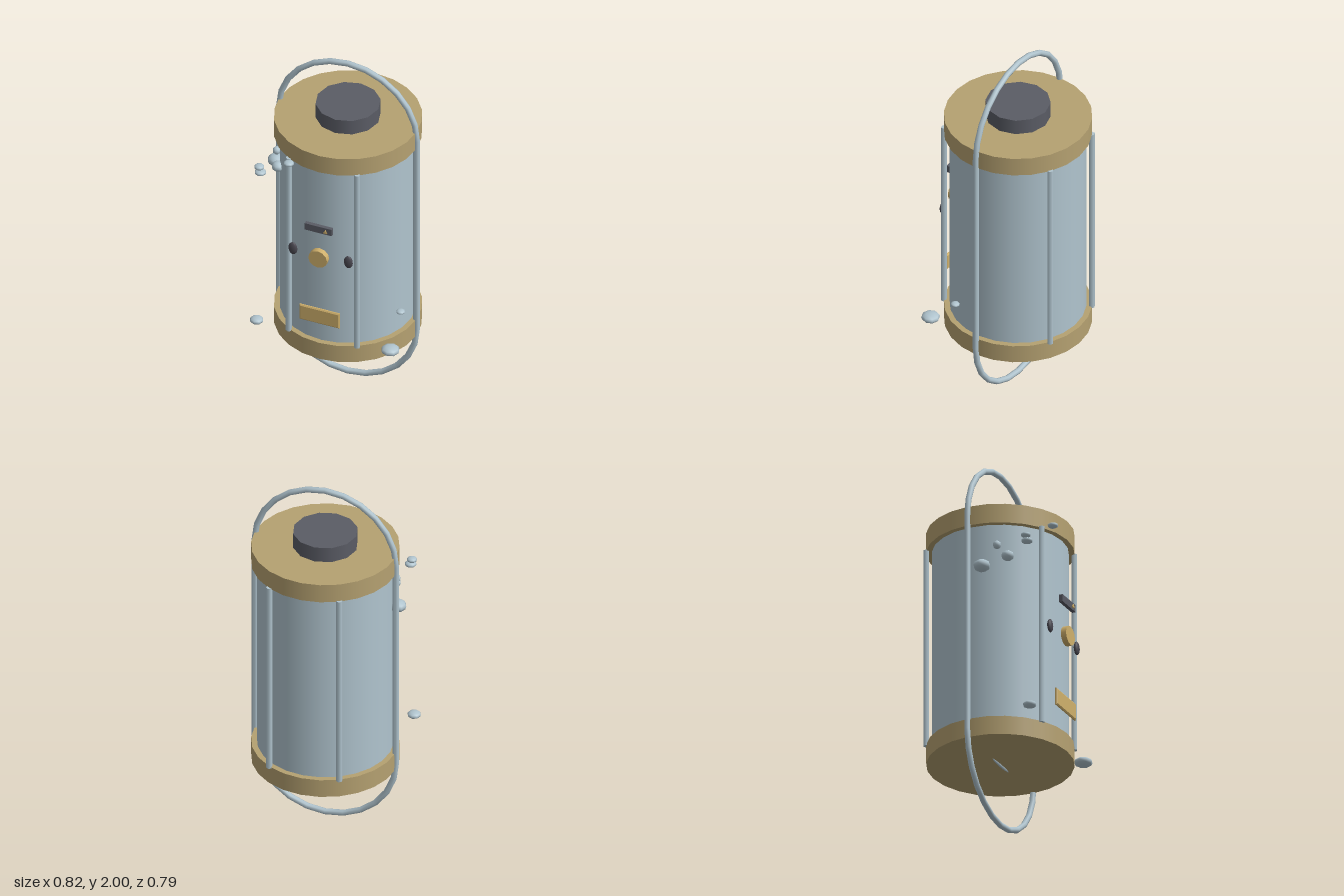
import * as THREE from 'three';

const mat = (name, color) => new THREE.MeshStandardMaterial({ name, color });

export function createModel() {
  const model = new THREE.Group();
  model.name = 'canister';
  const steel = mat('pale steel', 0xb0c4ce);
  const brass = mat('dull brass', 0xb5a171);
  const gold = mat('bright brass', 0xcfb06c);
  const dark = mat('dark grey', 0x5a5c65);
  const eyeDark = mat('deep grey', 0x4b4952);
  const AXIS = -0.015; // z of the cylinder axis

  const add = (name, geo, material, x, y, z) => {
    const m = new THREE.Mesh(geo, material);
    m.name = name;
    m.position.set(x, y, z);
    model.add(m);
    return m;
  };
  const drum = (name, r, y0, y1, sides, material, x = 0, z = AXIS) =>
    add(name, new THREE.CylinderGeometry(r, r, y1 - y0, sides), material, x, (y0 + y1) / 2, z);

  // Main drum, end caps and stopper
  drum('body', 0.352, 0.42, 1.6, 24, steel);
  drum('bottomCap', 0.381, 0.355, 0.457, 24, brass);
  drum('topCap', 0.381, 1.55, 1.655, 24, brass);
  drum('stopper', 0.168, 1.655, 1.74, 12, dark);

  // Six upright rods between the caps
  for (let i = 0; i < 6; i++) {
    const a = (i * Math.PI) / 3;
    drum('rod', 0.016, 0.45, 1.555, 6, steel, 0.38 * Math.cos(a), AXIS + 0.38 * Math.sin(a));
  }

  // Carrying loop: two half rings joined by straight sides
  const half = new THREE.TorusGeometry(0.384, 0.016, 8, 12, Math.PI);
  add('topHandle', half, steel, 0, 1.6, AXIS);
  add('bottomHandle', half, steel, 0, 0.4, AXIS).rotation.z = Math.PI;
  for (const s of [-1, 1]) drum('handleSide', 0.016, 0.4, 1.6, 8, steel, s * 0.384);

  // Small keel showing under the bottom cap
  add('keel', new THREE.SphereGeometry(1, 8, 6), steel, 0, 0.357, AXIS).scale.set(0.1, 0.013, 0.008);

  // Front fittings
  add('slotPlate', new THREE.BoxGeometry(0.15, 0.04, 0.02), dark, 0, 1.19, 0.367);
  add('slotMark', new THREE.CylinderGeometry(0.013, 0.013, 0.008, 3), gold, 0.04, 1.187, 0.38)
    .rotation.set(-Math.PI / 2, 0, 0);
  add('button', new THREE.CylinderGeometry(0.052, 0.052, 0.03, 12), gold, 0, 1.005, 0.37)
    .rotation.x = Math.PI / 2;

  // Name plate with a bevelled edge
  const shape = new THREE.Shape();
  shape.moveTo(-0.105, -0.04).lineTo(0.105, -0.04).lineTo(0.105, 0.04).lineTo(-0.105, 0.04).closePath();
  const plate = new THREE.ExtrudeGeometry(shape, {
    depth: 0.006, bevelEnabled: true, bevelSize: 0.007, bevelThickness: 0.005, bevelSegments: 1,
  });
  add('frontPlate', plate, gold, 0, 0.623, 0.353);

  for (const s of [-1, 1])
    add('rivet', new THREE.SphereGeometry(1, 10, 8), eyeDark, s * 0.154, 1.005, 0.345).scale.set(0.025, 0.037, 0.013);

  // Loose droplets: x, y, z, width radius, height radius
  const drops = [
    [-0.168, 1.56, 0.367, 0.028, 0.014],
    [-0.362, 0.475, 0.33, 0.036, 0.018],
    [0.361, 0.46, 0.281, 0.049, 0.024],
    [0.355, 0.6, 0.132, 0.024, 0.012],
    [-0.368, 1.313, 0.06, 0.045, 0.032],
    [-0.308, 1.37, 0.178, 0.034, 0.027],
    [-0.35, 1.41, 0.309, 0.031, 0.015],
    [-0.358, 1.44, 0.306, 0.027, 0.014],
    [-0.335, 1.43, 0.13, 0.022, 0.022],
  ];
  const ball = new THREE.SphereGeometry(1, 8, 6);
  for (const [x, y, z, r, h] of drops) add('droplet', ball, steel, x, y, z).scale.set(r, h, r);

  return model;
}
